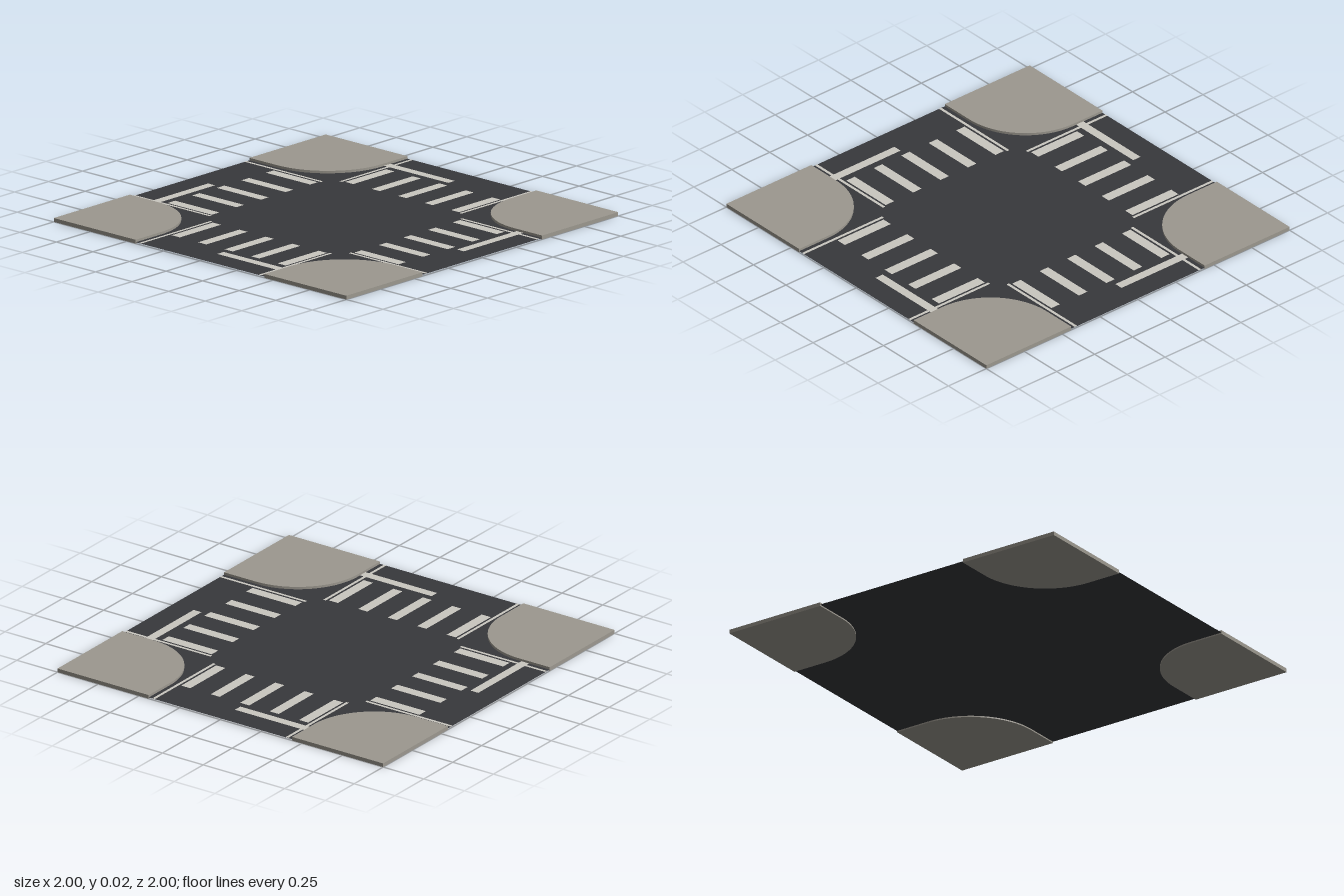
import * as THREE from 'three';

const ROAD_Y = 0.007;
const CURB_H = 0.02;
const ROAD_HALF = 0.44; // half the width of each street
const CORNER_R = 0.37;

const asphalt = new THREE.MeshStandardMaterial({ color: 0x37383c, side: THREE.DoubleSide });
const paint = new THREE.MeshStandardMaterial({ color: 0xcac7c0, side: THREE.DoubleSide });
const pavement = new THREE.MeshStandardMaterial({ color: 0x9c988f });

// Flat horizontal rectangle facing up
function flat(name, material, width, depth, x, y, z) {
  const geometry = new THREE.PlaneGeometry(width, depth).rotateX(-Math.PI / 2);
  const mesh = new THREE.Mesh(geometry, material);
  mesh.name = name;
  mesh.position.set(x, y, z);
  return mesh;
}

// Raised pavement slab in the +x +z corner, rounded toward the crossing
function sidewalkCorner() {
  const a = ROAD_HALF, c = ROAD_HALF + CORNER_R;
  const shape = new THREE.Shape();
  shape.moveTo(1, a);
  shape.lineTo(1, 1);
  shape.lineTo(a, 1);
  shape.lineTo(a, c);
  shape.absarc(c, c, CORNER_R, Math.PI, Math.PI * 1.5, false);
  shape.closePath();
  const geometry = new THREE.ExtrudeGeometry(shape, { depth: CURB_H, bevelEnabled: false, curveSegments: 16 });
  // shape y becomes +z, the slab then hangs down from its top face
  geometry.rotateX(Math.PI / 2).translate(0, CURB_H, 0);
  const mesh = new THREE.Mesh(geometry, pavement);
  mesh.name = 'sidewalkCorner';
  return mesh;
}

// Painted markings of the street leaving toward +z
function streetMarkings() {
  const group = new THREE.Group();
  group.name = 'streetMarkings';
  for (let i = -2; i <= 2; i++) {
    group.add(flat('crosswalkStripe', paint, 0.056, 0.303, i * 0.181, ROAD_Y + 0.001, 0.638));
  }
  group.add(flat('stopLine', paint, ROAD_HALF, 0.048, ROAD_HALF / 2, ROAD_Y + 0.001, 0.85));
  for (const side of [-1, 1]) {
    group.add(flat('edgeLine', paint, 0.016, 0.525, side * 0.409, ROAD_Y + 0.0015, 0.7375));
  }
  return group;
}

export function createModel() {
  const model = new THREE.Group();
  model.name = 'streetCrossing';
  model.add(flat('road', asphalt, 2, 2, 0, ROAD_Y, 0));

  // Four identical quarters turned about the centre
  for (let i = 0; i < 4; i++) {
    for (const part of [sidewalkCorner(), streetMarkings()]) {
      part.rotation.y = i * Math.PI / 2;
      model.add(part);
    }
  }
  return model;
}
